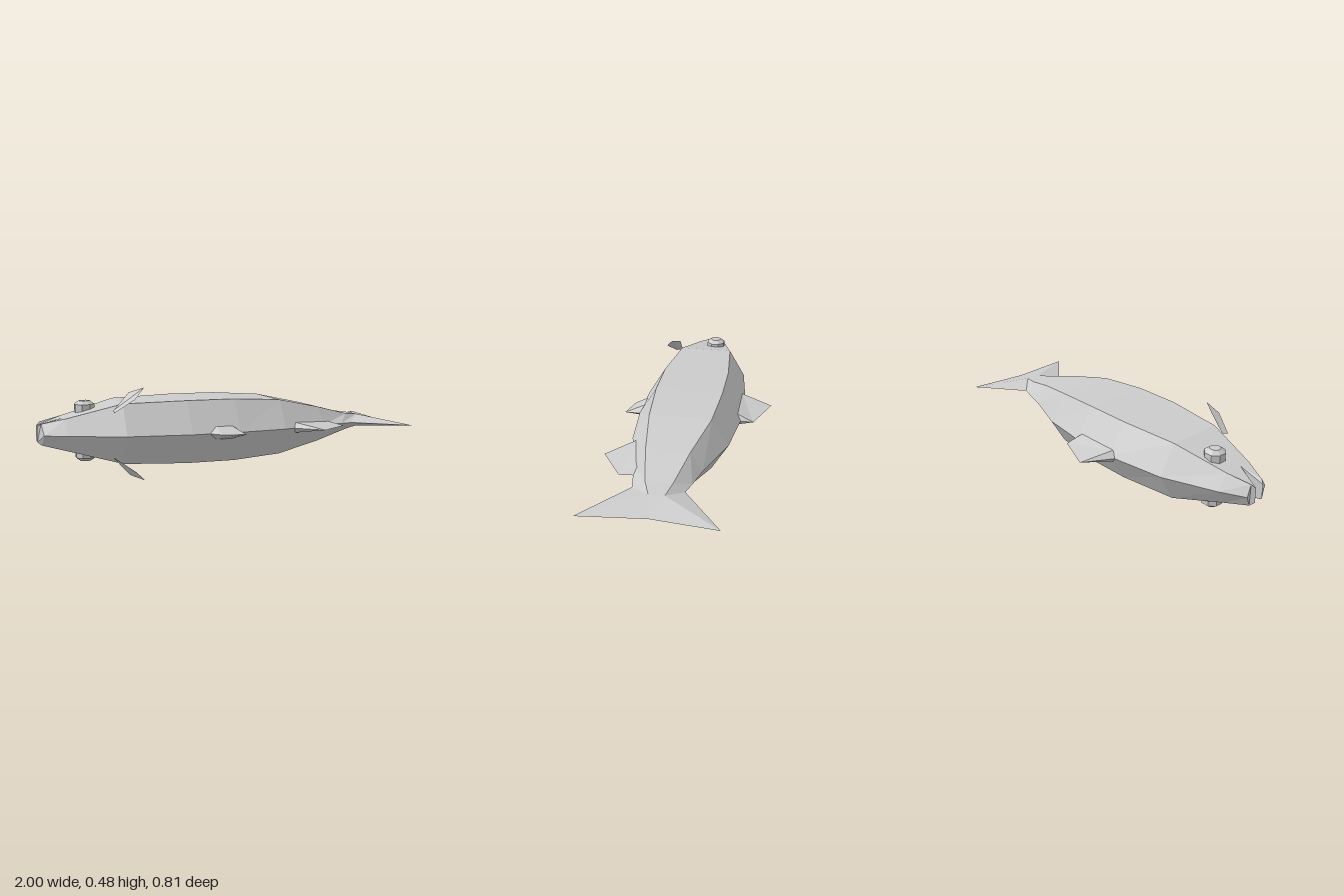
import * as THREE from 'three';

const MID = 0.24; // height of the fish's plane of symmetry (it lies on its side)

const mat = () => new THREE.MeshStandardMaterial({
  color: 0xcccccc, flatShading: true, side: THREE.DoubleSide,
});

// Faceted mesh from a list of triangles, each three [x, y, z] corners
function facets(name, tris) {
  const g = new THREE.BufferGeometry();
  g.setAttribute('position', new THREE.Float32BufferAttribute(tris.flat(2), 3));
  g.computeVertexNormals();
  const m = new THREE.Mesh(g, mat());
  m.name = name;
  return m;
}

const fan = (pts) => pts.slice(2).map((p, i) => [pts[0], pts[i + 1], p]);
const flip = ([x, y, z]) => [x, 2 * MID - y, z];

// Skin between successive closed rings running from head to tail
function loft(rings) {
  const tris = [];
  for (let s = 0; s < rings.length - 1; s++) {
    const a = rings[s], b = rings[s + 1], n = a.length;
    for (let i = 0; i < n; i++) {
      const j = (i + 1) % n;
      tris.push([a[i], a[j], b[i]], [a[j], b[j], b[i]]);
    }
  }
  return tris;
}

// Body ring: back ridge, flat flank with a middle point, belly ridge, mirrored flank
function ring([xRidge, xSide, back, sideBack, sideBelly, belly, half, mid]) {
  const flank = [sideBack, mid ?? (sideBack + sideBelly) / 2, sideBelly]
    .map((z) => [xSide, MID + half, z]);
  return [[xRidge, MID, back], ...flank, [xRidge, MID, belly], ...flank.map(flip).reverse()];
}

// Wedge fin: thick hexagonal root on a ridge, tapering to the edge c-d
function wedgeFin(name, a, b, c, d, p, q) {
  const tris = [];
  for (const s of [1, -1]) {
    const P = [p[0], MID + s * p[2], p[1]], Q = [q[0], MID + s * q[2], q[1]];
    const [A, B, C, D] = [a, b, c, d].map(([x, z]) => [x, MID, z]);
    const side = [[A, P, C], [P, Q, D], [P, D, C], [Q, B, D]];
    // outward winding for fins on either ridge
    const reverse = (s > 0) === (c[1] < a[1]);
    tris.push(...side.map((t) => (reverse ? t : [t[0], t[2], t[1]])));
  }
  return facets(name, tris);
}

export function createModel() {
  const model = new THREE.Group();
  model.name = 'fish';

  // Body: ridge x, flank x, back z, flank z pair, belly z, half thickness, mouth z
  const rings = [
    [-0.86, -0.86, -0.105, -0.052, 0.115, 0.165, 0.083, 0.05],
    [-0.58, -0.58, -0.21, -0.12, 0.18, 0.275, 0.156],
    [-0.25, -0.25, -0.255, -0.15, 0.22, 0.32, 0.165],
    [0.01, 0.01, -0.255, -0.15, 0.22, 0.32, 0.165],
    [0.28, 0.28, -0.22, -0.13, 0.2, 0.295, 0.149],
    [0.54, 0.53, -0.125, -0.06, 0.165, 0.225, 0.096],
    [0.66, 0.73, -0.092, -0.012, 0.125, 0.203, 0.045],
    [0.73, 0.82, -0.07, 0.01, 0.09, 0.19, 0.034],
  ].map(ring);
  model.add(facets('body', loft(rings)));

  // Jaws, open between the two halves of the first ring
  const head = rings[0];
  const jaw = (name, snout, root) => {
    model.add(facets(name, [...loft([snout, root]), ...fan([...snout].reverse())]));
  };
  const uSide = [-0.98, MID + 0.058, -0.015], uLip = [-1, MID + 0.04, 0];
  jaw('upperJaw',
    [[-0.985, MID, -0.043], uSide, uLip, flip(uLip), flip(uSide)],
    [0, 1, 2, 6, 7].map((i) => head[i]));
  const lLip = [-1, MID + 0.04, 0.052], lSide = [-0.98, MID + 0.055, 0.067];
  jaw('lowerJaw',
    [lLip, lSide, [-0.97, MID, 0.112], flip(lSide), flip(lLip)],
    [2, 3, 4, 5, 6].map((i) => head[i]));

  // Tail fin spreading from the last ring to a thin forked edge
  const end = rings[rings.length - 1];
  const tipBack = [0.995, MID, -0.275], fork = [0.962, MID, 0.055], tipBelly = [0.995, MID, 0.4];
  const tail = [];
  const half = [
    [end[0], end[1], tipBack], [end[1], fork, tipBack], [end[1], end[2], fork],
    [end[2], end[3], fork], [end[3], tipBelly, fork], [end[3], end[4], tipBelly],
  ];
  for (const [a, b, c] of half) tail.push([a, b, c], [flip(a), flip(c), flip(b)]);
  model.add(facets('tailFin', tail));

  // Fins on the back and belly ridges: [x, z] corners, then [x, z, half thickness]
  model.add(wedgeFin('dorsalFin', [-0.29, -0.248], [0.01, -0.255], [-0.2, -0.41], [0.01, -0.325],
    [-0.26, -0.235, 0.033], [-0.01, -0.235, 0.033]));
  model.add(wedgeFin('pelvicFin', [-0.16, 0.318], [0.01, 0.32], [-0.11, 0.37], [0.01, 0.403],
    [-0.12, 0.3, 0.033], [-0.03, 0.3, 0.033]));
  model.add(wedgeFin('analFin', [0.335, 0.283], [0.63, 0.208], [0.46, 0.4], [0.635, 0.28],
    [0.35, 0.26, 0.028], [0.58, 0.2, 0.016]));

  // Pectoral fins and eyes, one pair on each flank
  const pectoral = [
    [-0.63, 0.365, 0.185], [-0.55, 0.455, 0.185], [-0.48, 0.48, 0.225],
    [-0.535, 0.425, 0.265], [-0.635, 0.355, 0.225],
  ];
  const eyeProfile = [[0.055, -0.04], [0.055, 0.027], [0.03, 0.045], [0, 0.045]]
    .map(([r, y]) => new THREE.Vector2(r, y));
  for (const s of [1, -1]) {
    const label = s > 0 ? 'Upper' : 'Lower';
    model.add(facets('pectoralFin' + label, fan(s > 0 ? pectoral : pectoral.map(flip))));

    const eye = new THREE.Mesh(new THREE.LatheGeometry(eyeProfile, 8, Math.PI / 8), mat());
    eye.name = 'eye' + label;
    eye.position.set(-0.747, MID + s * 0.115, -0.01);
    if (s < 0) eye.rotation.x = Math.PI;
    model.add(eye);
  }
  return model;
}
